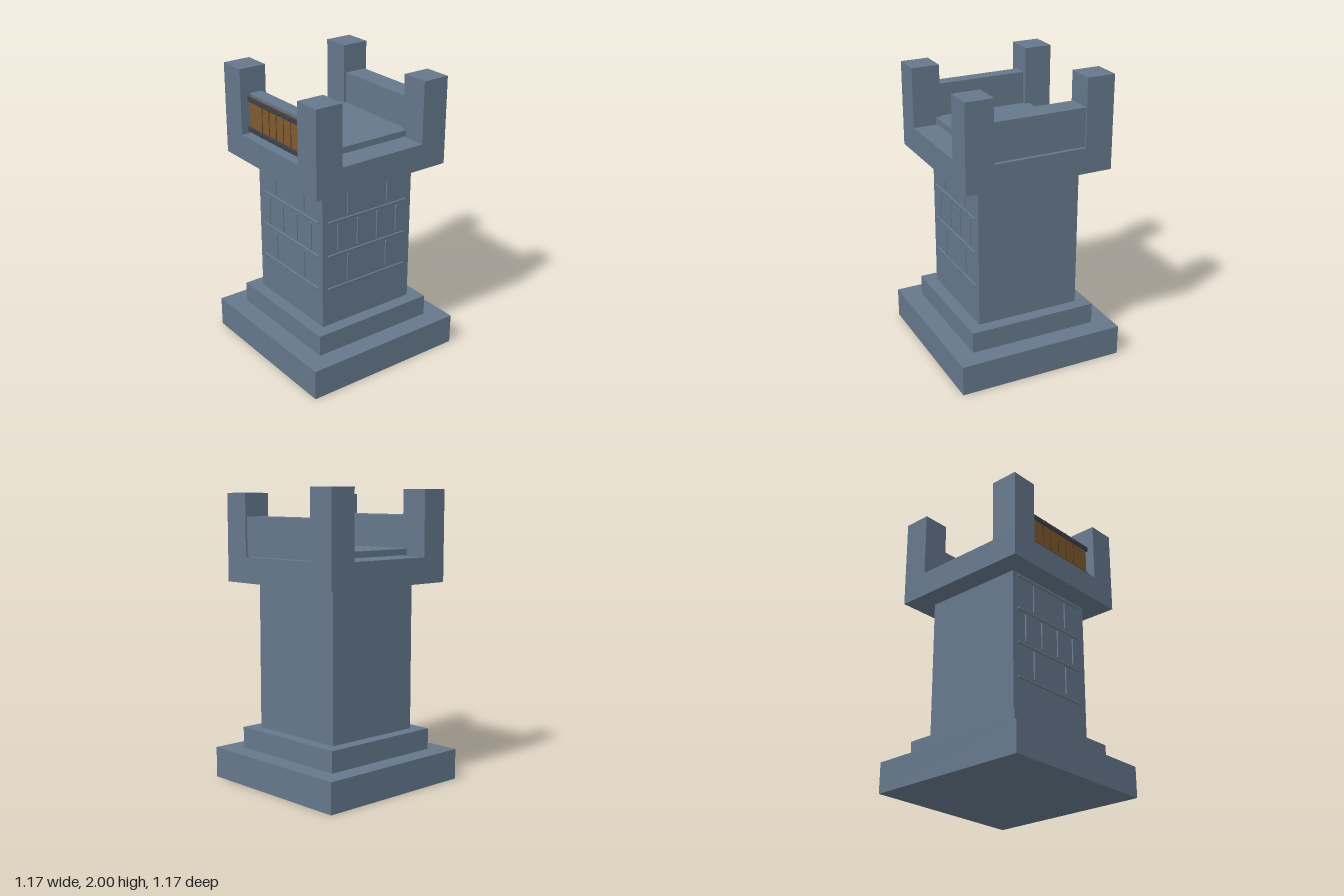
import * as THREE from 'three';
import { RoundedBoxGeometry } from 'three/addons/geometries/RoundedBoxGeometry.js';

const material = (name, color) => {
  const m = new THREE.MeshStandardMaterial({ color });
  m.name = name;
  return m;
};

export function createModel() {
  const stone = material('blue grey stone', 0x64778a);
  const wood = material('brown wood', 0x80592f);
  const seamWood = material('dark wood', 0x5a3d22);
  const iron = material('dark iron', 0x3e4149);

  const tower = new THREE.Group();
  tower.name = 'tower';

  // Box from its size and the position of its centre
  const box = (parent, name, mat, w, h, d, x, y, z, radius = 0) => {
    const geometry = radius
      ? new RoundedBoxGeometry(w, h, d, 2, radius)
      : new THREE.BoxGeometry(w, h, d);
    const mesh = new THREE.Mesh(geometry, mat);
    mesh.name = name;
    mesh.position.set(x, y, z);
    parent.add(mesh);
    return mesh;
  };

  // Stacked square tiers: name, half width, bottom, top
  const tiers = [
    ['base', 0.585, 0, 0.21],
    ['step', 0.45, 0.21, 0.355],
    ['shaft', 0.363, 0.355, 1.365],
    ['platform', 0.513, 1.365, 1.54],
  ];
  for (const [name, r, y0, y1] of tiers) {
    box(tower, name, stone, r * 2, y1 - y0, r * 2, 0, (y0 + y1) / 2, 0);
  }

  // Corner posts of uneven height: side x, side z, top
  const posts = [[-1, -1, 2], [1, -1, 1.96], [-1, 1, 1.985], [1, 1, 1.95]];
  for (const [sx, sz, top] of posts) {
    box(tower, 'cornerPost', stone, 0.193, top - 1.54, 0.193,
      sx * 0.4165, (top + 1.54) / 2, sz * 0.4165);
  }

  // Roof slab and the two parapet walls
  box(tower, 'roofSlab', stone, 0.704, 0.042, 0.69, 0, 1.569, 0);
  box(tower, 'backParapet', stone, 0.64, 0.26, 0.16, 0, 1.675, -0.42);
  box(tower, 'frontParapet', stone, 0.64, 0.27, 0.09, 0, 1.68, 0.395, 0.006);

  // Raised brick joints, on the front and right faces
  const joints = (name, angle) => {
    const group = new THREE.Group();
    group.name = name;
    group.rotation.y = angle;
    for (let i = 0; i < 4; i++) {
      const y = 0.625 + i * 0.24;
      box(group, 'levelJoint', stone, 0.64, 0.018, 0.018, 0, y, 0.363, 0.006);
      if (i === 3) continue;
      const columns = i === 1 ? [-0.24, -0.08, 0.08, 0.24] : [-0.16, 0.16];
      for (const x of columns) {
        box(group, 'uprightJoint', stone, 0.014, 0.198, 0.016, x, y + 0.12, 0.363, 0.005);
      }
    }
    tower.add(group);
  };
  joints('frontBrickJoints', 0);
  joints('rightBrickJoints', Math.PI / 2);

  // Planked shield on the front parapet
  const shield = new THREE.Group();
  shield.name = 'woodenShield';
  tower.add(shield);
  box(shield, 'planks', wood, 0.62, 0.235, 0.014, 0, 1.677, 0.446, 0.004);
  for (let i = -2; i <= 2; i++) {
    box(shield, 'plankSeam', seamWood, 0.007, 0.18, 0.004, i * 0.081, 1.677, 0.453);
  }

  // Iron bands with rivets
  const rivet = new THREE.CylinderGeometry(0.011, 0.013, 0.012, 10).rotateX(Math.PI / 2);
  for (const y of [1.574, 1.781]) {
    box(shield, 'ironBand', iron, 0.63, 0.036, 0.012, 0, y, 0.461, 0.005);
    for (let i = 0; i < 4; i++) {
      const mesh = new THREE.Mesh(rivet, iron);
      mesh.name = 'rivet';
      mesh.position.set(-0.16 + i * 0.1067, y, 0.469);
      shield.add(mesh);
    }
  }

  return tower;
}
